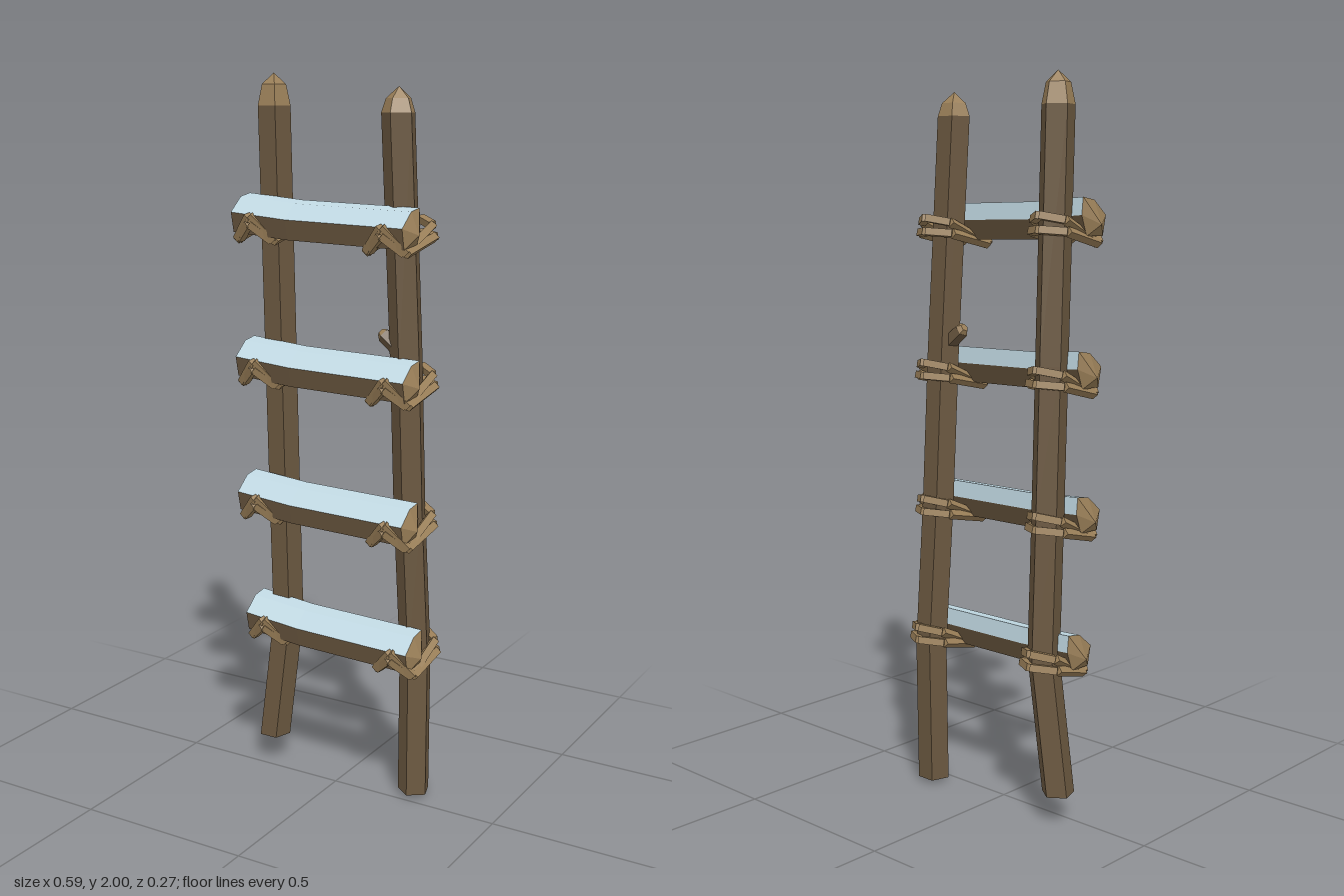
import * as THREE from 'three';

const mat = (name, color) => {
  const m = new THREE.MeshStandardMaterial({ color, flatShading: true });
  m.name = name;
  return m;
};
const V = (x, y, z) => new THREE.Vector3(x, y, z);

// Skin a row of rings, with a pointed cap at each end.
// sides[j] is the material index of side j; capMat that of both caps.
function loft(rings, startTip, endTip, sides, capMat, materials) {
  const lists = materials.map(() => []);
  const tri = (m, ...pts) => pts.forEach(p => lists[m].push(p.x, p.y, p.z));
  const n = rings[0].length;
  const last = rings[rings.length - 1];
  for (let j = 0; j < n; j++) {
    const k = (j + 1) % n;
    for (let i = 0; i < rings.length - 1; i++) {
      const a = rings[i], b = rings[i + 1];
      tri(sides[j], a[j], a[k], b[k]);
      tri(sides[j], a[j], b[k], b[j]);
    }
    tri(capMat, startTip, rings[0][k], rings[0][j]);
    tri(capMat, endTip, last[j], last[k]);
  }
  const geo = new THREE.BufferGeometry();
  geo.setAttribute('position', new THREE.Float32BufferAttribute(lists.flat(), 3));
  let start = 0;
  lists.forEach((l, m) => {
    geo.addGroup(start, l.length / 3, m);
    start += l.length / 3;
  });
  geo.computeVertexNormals();
  return new THREE.Mesh(geo, materials);
}

// Four-sided stick from a to b
function stick(a, b, r, material, sides = 4, rTop = r) {
  const d = b.clone().sub(a);
  const m = new THREE.Mesh(new THREE.CylinderGeometry(rTop, r, d.length(), sides), material);
  m.position.copy(a).add(b).multiplyScalar(0.5);
  m.quaternion.setFromUnitVectors(V(0, 1, 0), d.normalize());
  return m;
}

export function createModel() {
  const bark = mat('bark', 0x6b5840);
  const tan = mat('cut wood and rope', 0x9a7f58);
  const snow = mat('snow', 0xc0d8e2);
  const mats = [bark, tan, snow];
  const group = new THREE.Group();

  // Posts: five-sided, slightly bent, with hewn tops
  const makePost = (name, path, turn, topY) => {
    const ring = ([x, y, z], r) => Array.from({ length: 5 }, (_, j) => {
      const t = turn + j * Math.PI * 2 / 5;
      return V(x + r * Math.cos(t), y, z - r * Math.sin(t));
    });
    const [bx, by, bz] = path[0];
    const [tx, , tz] = path[path.length - 1];
    const body = loft(path.map(p => ring(p, 0.046)), V(bx, by - 0.012, bz), V(tx, topY - 0.06, tz),
      [0, 0, 0, 0, 0], 0, mats);
    body.name = name;
    const top = path[path.length - 1];
    const cap = loft([ring(top, 0.046), ring([tx, topY - 0.03, tz], 0.034)],
      V(tx, topY - 0.06, tz), V(tx, topY, tz), [1, 1, 1, 1, 1], 1, mats);
    cap.name = name + 'Tip';
    group.add(body, cap);
  };
  makePost('rightPost', [[-0.235, 0.085, -0.04], [-0.198, 0.46, -0.06], [-0.2, 0.85, -0.048],
    [-0.2, 1.25, -0.035], [-0.205, 1.915, -0.02]], Math.PI / 2, 2.0);
  makePost('leftPost', [[0.23, 0.012, -0.05], [0.225, 0.42, -0.06], [0.212, 0.85, -0.04],
    [0.207, 1.25, -0.022], [0.192, 1.9, 0.01]], -Math.PI / 2, 1.965);

  // Rungs: section as (z, y), snow on the upper faces
  const section = [[0.0, 0.043], [0.048, 0.004], [0.036, -0.05], [-0.03, -0.05],
    [-0.05, 0.004], [-0.045, 0.05]];
  const sides = [2, 0, 0, 0, 2, 2];
  const rungs = [[0.475, -0.045], [0.845, -0.012], [1.23, -0.012], [1.625, 0]];
  rungs.forEach(([y, dz], i) => {
    const ring = (x, dy, z) => section.map(([sz, sy]) => V(x, y + dy + sy, z + dz + sz));
    const rung = loft([ring(-0.268, 0.008, 0.052), ring(-0.09, -0.004, 0.064), ring(0.266, -0.01, 0.077)],
      V(-0.295, y - 0.012, 0.05 + dz), V(0.29, y - 0.025, 0.077 + dz), sides, 1, mats);
    rung.name = 'rung' + (i + 1);
    group.add(rung);

    // Rope lashings: two loops round the rung and post at each joint
    [[-0.202, 0.055, 0], [0.208 + (3 - i) * 0.004, 0.073, -0.01]].forEach(([x, z, dy], s) => {
      const lash = new THREE.Group();
      lash.name = (s ? 'left' : 'right') + 'Lashing' + (i + 1);
      const back = -0.088 + dz * 0.65;
      [0, 1].forEach(k => {
        const w = 1 - k * 0.12;
        const half = sx => [V(0, 0.005 - k * 0.02, z + dz + 0.056), V(sx * 0.058 * w, -0.06, z + dz + 0.025),
          V(sx * 0.062 * w, -0.03 + k * 0.03, back + 0.04), V(0, (k ? 0.012 : -0.025), back)];
        [-1, 1].forEach(sx => {
          const p = half(sx).map(q => q.add(V(x, y + dy, 0)));
          for (let j = 0; j < 3; j++) lash.add(stick(p[j], p[j + 1], 0.014, tan));
        });
      });
      group.add(lash);
    });
  });

  // Broken branch stub on the left post
  const stub = stick(V(0.2, 1.275, -0.02), V(0.138, 1.322, -0.02), 0.024, bark, 5, 0.021);
  stub.name = 'branchStub';
  const stubEnd = stick(V(0.138, 1.322, -0.02), V(0.128, 1.329, -0.02), 0.021, tan, 5, 0.012);
  stubEnd.name = 'branchStubEnd';
  group.add(stub, stubEnd);

  return group;
}
